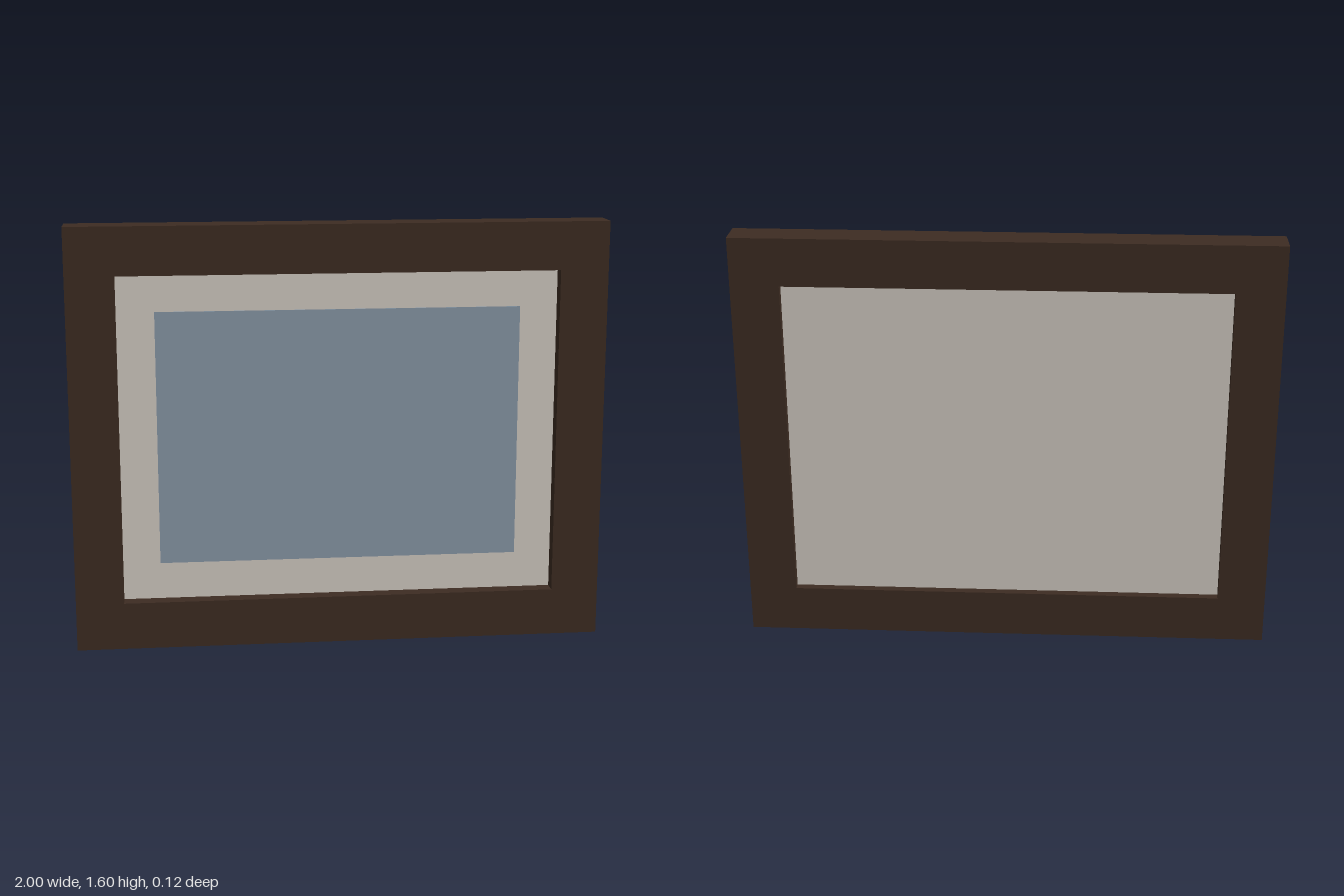
import * as THREE from 'three';

const CENTER_Y = 0.8;

// Rectangle outline centred on the origin
function rectangle(Type, w, h) {
  const p = new Type();
  p.moveTo(-w / 2, -h / 2);
  p.lineTo(w / 2, -h / 2);
  p.lineTo(w / 2, h / 2);
  p.lineTo(-w / 2, h / 2);
  p.closePath();
  return p;
}

function material(name, color) {
  const m = new THREE.MeshStandardMaterial({ color });
  m.name = name;
  return m;
}

export function createModel() {
  const group = new THREE.Group();
  group.name = 'pictureFrame';

  const wood = material('darkWood', 0x3d2c22);
  const card = material('offWhiteCard', 0xd2ccc3);
  const print = material('dustyBlue', 0x8898a7);

  const add = (name, geometry, mat, z) => {
    const mesh = new THREE.Mesh(geometry, mat);
    mesh.name = name;
    mesh.position.set(0, CENTER_Y, z);
    group.add(mesh);
  };

  // Wooden border, open in the middle
  const outline = rectangle(THREE.Shape, 2, 1.6);
  outline.holes.push(rectangle(THREE.Path, 1.64, 1.24));
  add('border', new THREE.ExtrudeGeometry(outline, { depth: 0.12, bevelEnabled: false }), wood, -0.06);

  // Mat board, recessed on both sides and filling the opening
  add('matBoard', new THREE.BoxGeometry(1.64, 1.24, 0.036), card, -0.012);

  // Plain picture panel on the front of the mat
  add('picture', new THREE.BoxGeometry(1.36, 0.96, 0.005), print, 0.0075);

  return group;
}
